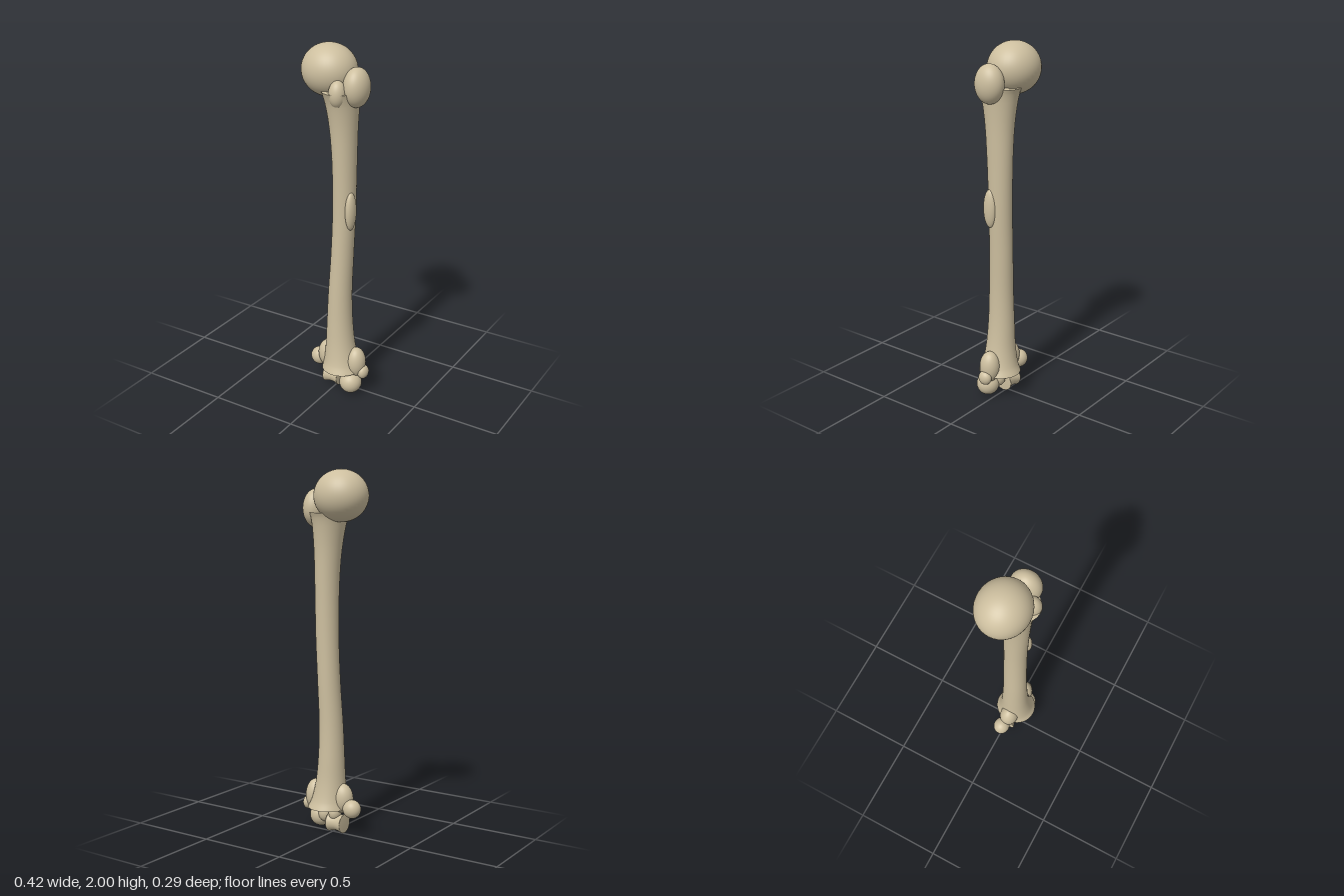
import * as THREE from 'three';

export function createModel() {
  const bone = new THREE.MeshStandardMaterial({ color: 0xcdbf9f });
  bone.name = 'bone';
  const group = new THREE.Group();
  group.name = 'armBone';

  const add = (name, geometry) => {
    const mesh = new THREE.Mesh(geometry, bone);
    mesh.name = name;
    group.add(mesh);
    return mesh;
  };
  const ellipsoid = (name, [x, y, z], [rx, ry, rz], tilt = 0) => {
    const mesh = add(name, new THREE.SphereGeometry(1, 40, 28));
    mesh.position.set(x, y, z);
    mesh.scale.set(rx, ry, rz);
    mesh.rotation.z = tilt;
  };

  // Shaft sections: height, centre x, centre z, half width, half depth
  const sections = [
    [0.135, 0.04, 0.02, 0.115, 0.12],
    [0.18, 0.035, 0.021, 0.1, 0.102],
    [0.28, 0.028, 0.022, 0.084, 0.085],
    [0.42, 0.023, 0.021, 0.073, 0.076],
    [0.6, 0.024, 0.02, 0.066, 0.07],
    [0.85, 0.034, 0.013, 0.062, 0.067],
    [1.1, 0.043, 0.01, 0.063, 0.066],
    [1.4, 0.045, 0.012, 0.066, 0.073],
    [1.58, 0.041, 0.015, 0.075, 0.083],
    [1.7, 0.036, 0.018, 0.088, 0.1],
    [1.745, 0.034, 0.02, 0.096, 0.112],
    [1.77, 0.033, 0.02, 0.102, 0.122],
  ];
  const centres = new THREE.CatmullRomCurve3(sections.map(([y, x, z]) => new THREE.Vector3(x, y, z)));
  const radii = new THREE.CatmullRomCurve3(sections.map(([y, , , w, d]) => new THREE.Vector3(w, y, d)));
  const rows = 66, sides = 48;
  const shaft = new THREE.CylinderGeometry(1, 1, 1, sides, rows, true);
  const p = shaft.attributes.position;
  for (let i = 0; i < p.count; i++) {
    const t = p.getY(i) + 0.5;
    const c = centres.getPoint(t), r = radii.getPoint(t);
    p.setXYZ(i, c.x + p.getX(i) * r.x, c.y, c.z + p.getZ(i) * r.z);
  }
  // Average normals across the seam
  shaft.computeVertexNormals();
  const n = shaft.attributes.normal;
  for (let row = 0; row <= rows; row++) {
    const a = row * (sides + 1), b = a + sides;
    const v = new THREE.Vector3().fromBufferAttribute(n, a)
      .add(new THREE.Vector3().fromBufferAttribute(n, b)).normalize();
    n.setXYZ(a, v.x, v.y, v.z);
    n.setXYZ(b, v.x, v.y, v.z);
  }
  add('shaft', shaft);

  // Flat ends of the shaft
  for (const [name, s, turn] of [['shaftBase', sections[0], 1], ['shaftTop', sections.at(-1), -1]]) {
    const cap = add(name, new THREE.CircleGeometry(1, sides));
    cap.position.set(s[1], s[0], s[2]);
    cap.scale.set(s[3], s[4], 1);
    cap.rotation.x = turn * Math.PI / 2;
  }

  // Upper end
  ellipsoid('head', [-0.057, 1.86, -0.005], [0.152, 0.14, 0.14]);
  ellipsoid('greaterTubercle', [0.122, 1.795, 0.02], [0.068, 0.105, 0.084]);
  ellipsoid('lesserTubercle', [0.05, 1.765, 0.092], [0.047, 0.072, 0.049]);

  // Muscle ridge on the outer side
  ellipsoid('shaftRidge', [0.1, 1.115, 0.038], [0.027, 0.108, 0.04]);

  // Lower end
  ellipsoid('innerRidge', [-0.05, 0.195, 0.02], [0.064, 0.085, 0.055]);
  ellipsoid('outerRidge', [0.13, 0.19, 0.022], [0.056, 0.09, 0.058]);
  ellipsoid('innerEpicondyle', [-0.123, 0.148, 0.005], [0.052, 0.052, 0.048]);
  ellipsoid('outerEpicondyle', [0.177, 0.138, 0.02], [0.03, 0.04, 0.04]);
  ellipsoid('capitulum', [0.112, 0.068, 0.05], [0.064, 0.064, 0.064]);
  ellipsoid('trochleaNeck', [-0.012, 0.11, 0.005], [0.035, 0.045, 0.04]);
  ellipsoid('capitulumNeck', [0.06, 0.095, 0.015], [0.04, 0.05, 0.04]);

  // Grooved spool lying along x
  const spool = [[0, -0.048], [0.052, -0.048], [0.054, -0.044], [0.047, -0.025], [0.043, 0],
    [0.047, 0.025], [0.054, 0.044], [0.052, 0.048], [0, 0.048]].map(([r, h]) => new THREE.Vector2(r, h));
  const trochlea = add('trochlea', new THREE.LatheGeometry(spool, 40));
  trochlea.rotation.z = -Math.PI / 2;
  trochlea.position.set(-0.025, 0.054, 0.008);

  return group;
}
